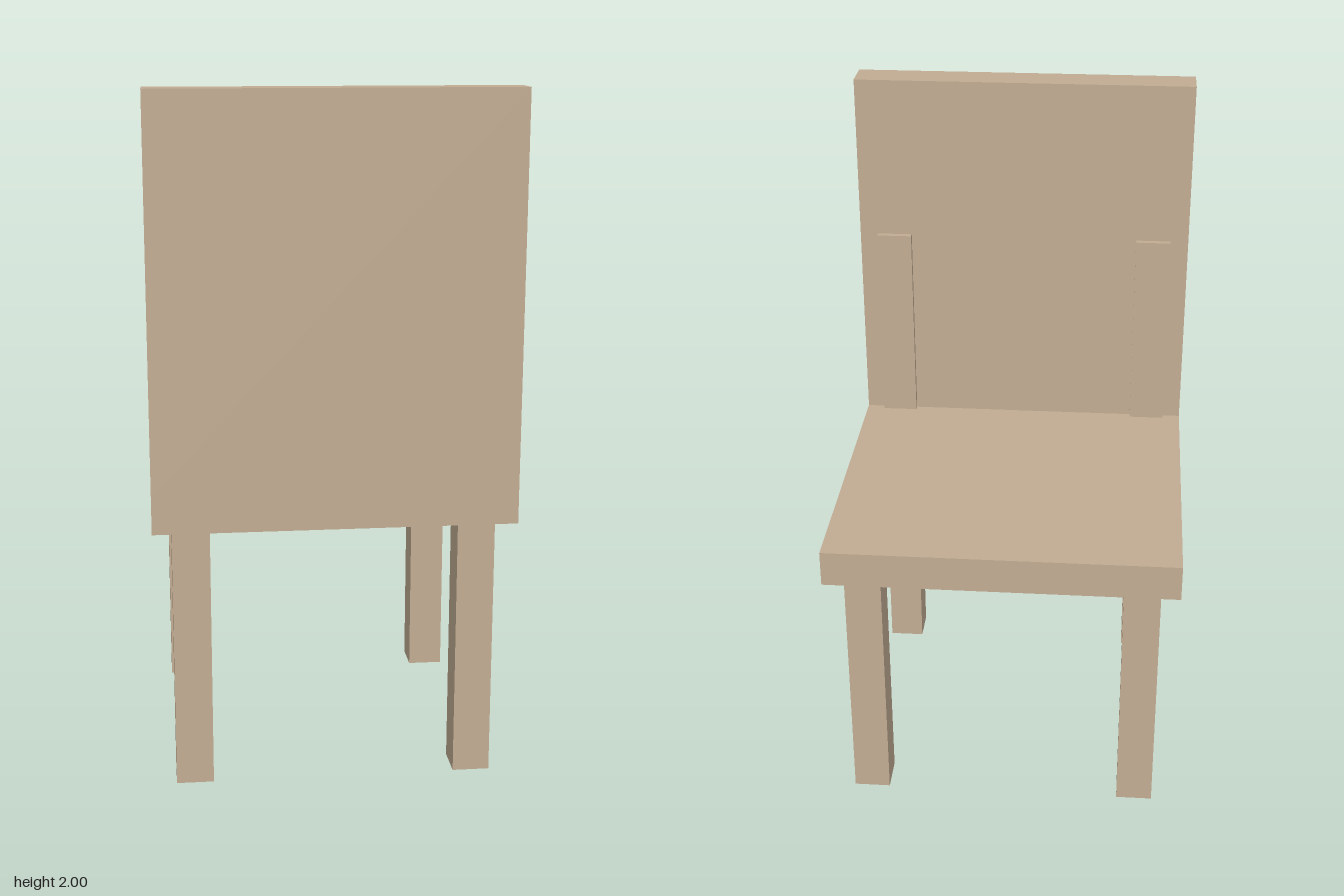
import * as THREE from 'three';

export function createModel() {
  const group = new THREE.Group();
  const wood = new THREE.MeshStandardMaterial({ color: 0xc2ad94 });
  wood.name = 'tan wood';

  // Box given by its lower and upper bounds on each axis
  function addBox(name, [x0, x1], [y0, y1], [z0, z1]) {
    const mesh = new THREE.Mesh(new THREE.BoxGeometry(x1 - x0, y1 - y0, z1 - z0), wood);
    mesh.position.set((x0 + x1) / 2, (y0 + y1) / 2, (z0 + z1) / 2);
    mesh.name = name;
    group.add(mesh);
  }

  const half = 0.518, seatBottom = 0.782, seatTop = 0.89;
  const legIn = 0.355, legOut = 0.463;

  // Seat slab and the tall backrest standing on its +z edge
  addBox('seat', [-half, half], [seatBottom, seatTop], [-half, half]);
  addBox('backrest', [-half, half], [seatTop, 2], [0.408, half]);

  for (const side of [1, -1]) {
    const label = side > 0 ? 'left' : 'right';
    const x = side > 0 ? [legIn, legOut] : [-legOut, -legIn];

    // Square legs
    addBox(label + 'FrontLeg', x, [0, seatBottom], [legIn, legOut]);
    addBox(label + 'RearLeg', x, [0, seatBottom], [-legOut, -legIn]);

    // Upright support strip, partly sunk into the backrest
    addBox(label + 'BackSupport', x, [seatTop, 1.505], [0.39, 0.45]);
  }
  return group;
}
